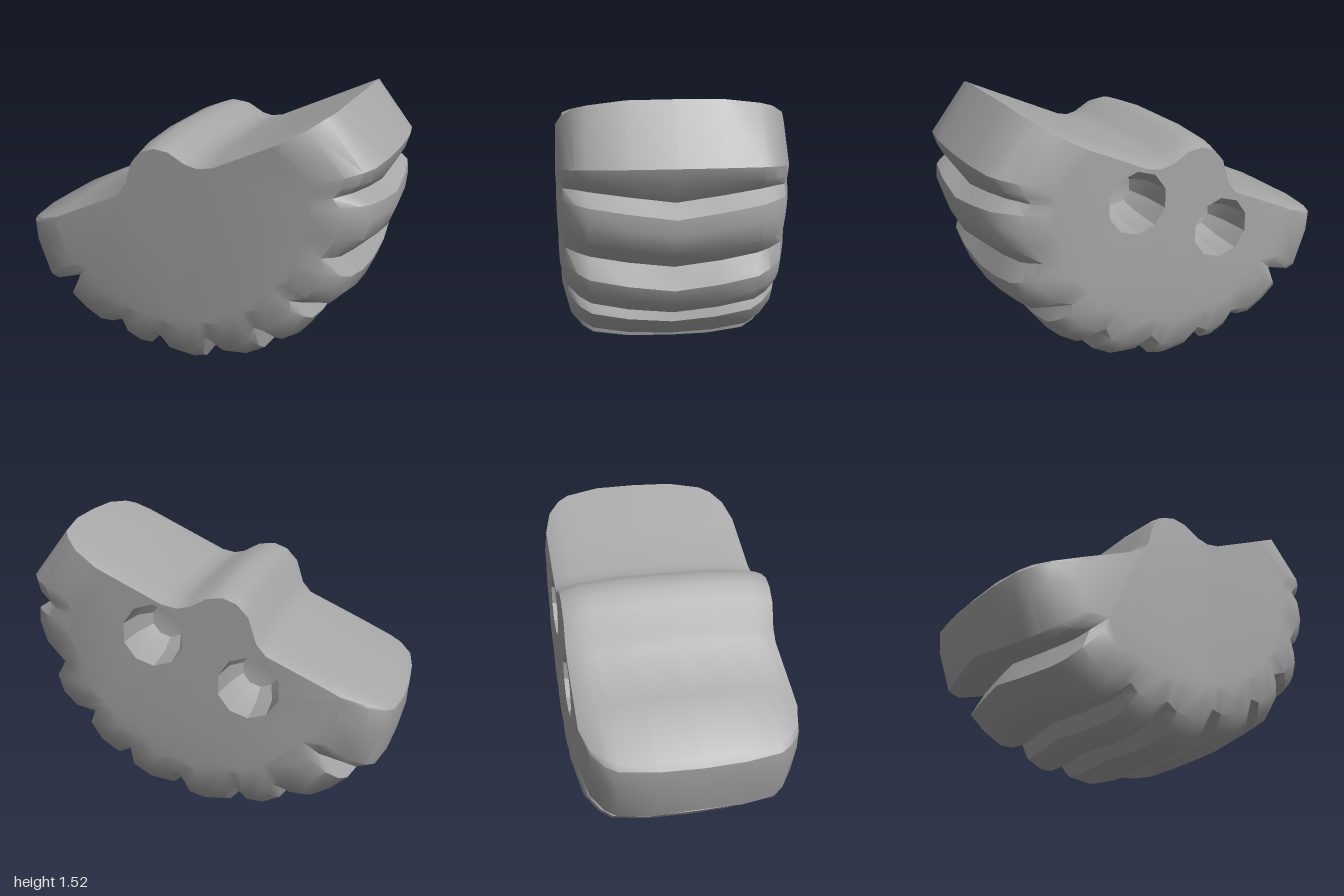
import * as THREE from 'three';
import { mergeGeometries, toCreasedNormals } from 'three/addons/utils/BufferGeometryUtils.js';

// rim outline from left tip to right tip: [x, y, 1 = groove bottom]
const RIM = [
  [-1, 0.69], [-0.99, 0.57], [-0.93, 0.38], [-0.88, 0.36], [-0.75, 0.38, 1], [-0.79, 0.27],
  [-0.7, 0.19], [-0.6, 0.13], [-0.52, 0.13], [-0.47, 0.12, 1], [-0.42, 0.08], [-0.33, 0.035],
  [-0.27, 0.035], [-0.21, 0.06, 1], [-0.14, 0.02], [0, 0], [0.08, 0.02], [0.14, 0.08, 1],
  [0.2, 0.07], [0.32, 0.08], [0.43, 0.14], [0.47, 0.21, 1], [0.53, 0.21], [0.63, 0.27],
  [0.7, 0.37], [0.7, 0.43, 1], [0.79, 0.47], [0.87, 0.55], [0.9, 0.64], [0.89, 0.73, 1],
  [0.96, 0.85], [0.995, 0.96], [0.99, 1.04], [0.955, 1.1, 1], [0.98, 1.18], [1, 1.25],
];
// seat outline from right tip back to left tip, with the raised ridge
const SEAT = [
  [0.8, 1.52], [0.5, 1.38], [0.2, 1.24], [0.12, 1.225], [0.05, 1.24], [-0.04, 1.29],
  [-0.12, 1.3], [-0.19, 1.275], [-0.25, 1.21], [-0.29, 1.08], [-0.34, 1.02], [-0.65, 0.88], [-0.97, 0.73],
];
// half of the cross-section rows: [z, rim inset, seat drop, groove depth]
const HALF = [
  [0, 0, 0, 0.05], [0.22, 0.008, 0, 0.05], [0.4, 0.035, 0.015, 0.05],
  [0.46, 0.075, 0.02, 0.035], [0.52, 0.15, 0.035, 0.01], [0.555, 0.28, 0.05, 0],
];
const ROWS = [...HALF.slice(1).reverse().map(([z, ...r]) => [-z, ...r]), ...HALF];
const SOCKETS = [[0.25, 1.02], [-0.25, 0.79]];
const R = 0.165, SIDES = 10;

function section([z, inset, drop, depth]) {
  // the treads bend into a shallow chevron across the width
  const turn = 0.03 - 0.065 * Math.max(0, 1 - Math.abs(z) / 0.46);
  const rim = RIM.map(([x, y, groove], i) => {
    const k = 1 - inset - (groove ? depth : 0);
    const a = i < 2 || i > RIM.length - 3 ? 0 : turn;
    const dx = x * k, dy = (y - 1) * k;
    return new THREE.Vector2(dx * Math.cos(a) - dy * Math.sin(a), 1 + dx * Math.sin(a) + dy * Math.cos(a));
  });
  // the two tips slide inward along the slope
  const seat = SEAT.map(([x, y]) => {
    const s = Math.abs(x) > 0.75 ? -Math.sign(x) * inset : 0;
    return new THREE.Vector2(x + 0.906 * s, y + 0.42 * s - drop);
  });
  return [...rim, ...seat];
}

function wall() {
  const rings = ROWS.map(section), n = rings[0].length;
  const pos = [], idx = [];
  rings.forEach((ring, i) => ring.forEach((p) => pos.push(p.x, p.y, ROWS[i][0])));
  for (let i = 0; i < rings.length - 1; i++) {
    for (let j = 0; j < n; j++) {
      const a = i * n + j, b = i * n + (j + 1) % n;
      idx.push(a, b, b + n, a, b + n, a + n);
    }
  }
  const g = new THREE.BufferGeometry();
  g.setAttribute('position', new THREE.Float32BufferAttribute(pos, 3));
  g.setIndex(idx);
  return g;
}

function cap(row, back) {
  const shape = new THREE.Shape(section(row));
  if (back) {
    for (const [cx, cy] of SOCKETS) {
      const pts = [];
      for (let i = 0; i < SIDES; i++) {
        const a = (i / SIDES) * Math.PI * 2;
        pts.push(new THREE.Vector2(cx + R * Math.sin(a), cy + R * Math.cos(a)));
      }
      shape.holes.push(new THREE.Path(pts));
    }
  }
  const g = new THREE.ShapeGeometry(shape);
  if (back) g.index.array.reverse();
  return g.translate(0, 0, row[0]);
}

// remove extras so that all pieces share the same attributes
function plain(g) {
  const p = g.index ? g.toNonIndexed() : g;
  p.deleteAttribute('uv');
  p.deleteAttribute('normal');
  return p;
}

export function createModel() {
  const group = new THREE.Group();
  const grey = new THREE.MeshStandardMaterial({ color: 0xa6a6a6, side: THREE.DoubleSide });
  grey.name = 'grey';

  // half wheel with treads, seat and ridge
  const parts = [wall(), cap(ROWS[0], true), cap(ROWS[ROWS.length - 1], false)].map(plain);
  const body = new THREE.Mesh(toCreasedNormals(mergeGeometries(parts), 0.6), grey);
  body.name = 'treadedBody';
  group.add(body);

  // two cup-shaped sockets in the back
  const profile = [[R, 0.26], [R * 0.9, 0.1], [R * 0.6, 0], [0, -0.02]].map((p) => new THREE.Vector2(...p));
  for (const [x, y] of SOCKETS) {
    const g = new THREE.LatheGeometry(profile, SIDES).rotateX(-Math.PI / 2);
    const socket = new THREE.Mesh(toCreasedNormals(plain(g), 0.5), grey);
    socket.name = 'backSocket';
    socket.position.set(x, y, -0.295);
    group.add(socket);
  }
  return group;
}
